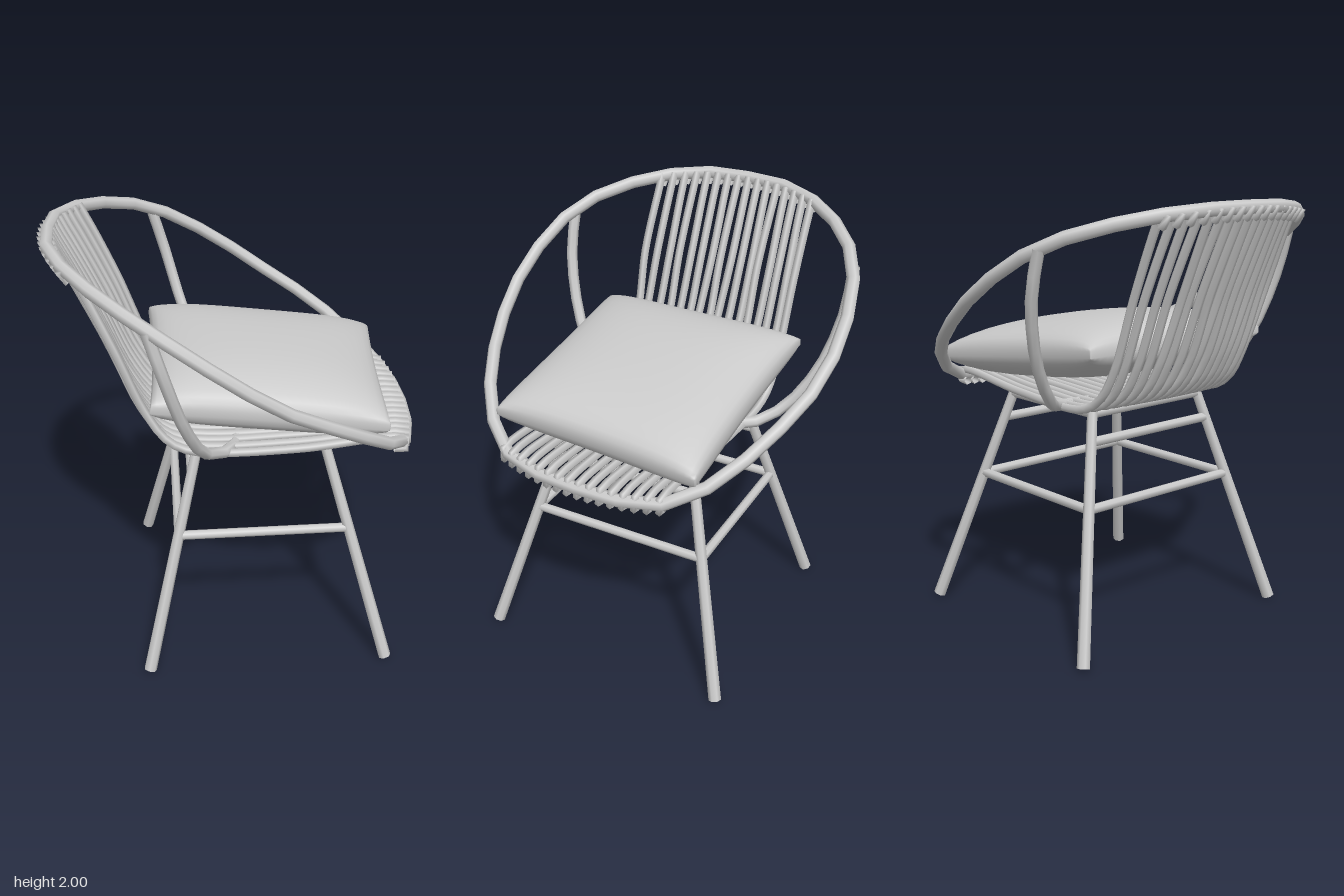
import * as THREE from 'three';
import { mergeVertices } from 'three/addons/utils/BufferGeometryUtils.js';

const mat = new THREE.MeshStandardMaterial({ color: 0xcccccc, side: THREE.DoubleSide });
const V = (p) => new THREE.Vector3(...p);
const mirror = ([x, y, z]) => [-x, y, z];

function add(parent, name, geometry) {
  const mesh = new THREE.Mesh(geometry, mat);
  mesh.name = name;
  parent.add(mesh);
  return mesh;
}

// Straight tapered rod between two points
function rod(parent, name, a, b, ra, rb = ra) {
  const p = V(a), q = V(b), dir = q.clone().sub(p);
  const mesh = add(parent, name, new THREE.CylinderGeometry(rb, ra, dir.length(), 7));
  mesh.position.copy(p).lerp(q, 0.5);
  mesh.quaternion.setFromUnitVectors(new THREE.Vector3(0, 1, 0), dir.normalize());
}

// Bent cane through a few points
function cane(parent, name, pts, radius, segments, sides, closed = false) {
  const curve = new THREE.CatmullRomCurve3(pts.map(V), closed, 'centripetal');
  add(parent, name, new THREE.TubeGeometry(curve, segments, radius, sides, closed));
}

// Small repeatable jitter for the hand-woven slats
let seed = 7;
function jitter(amount) {
  seed = (seed * 16807) % 2147483647;
  return (seed / 2147483647 - 0.5) * 2 * amount;
}

// Legs with rails between them; local +z is the way the seat faces
function buildBase(chair) {
  const base = new THREE.Group();
  base.name = 'base';
  base.rotation.y = 0.025; // sits slightly askew under the seat
  chair.add(base);
  const legAt = (side, front, y) => {
    const t = y / 1.06;
    return [side * (0.607 - 0.28 * t), y, front ? 0.615 - 0.29 * t : -0.507 + 0.26 * t];
  };
  for (const front of [true, false]) {
    const end = front ? 'front' : 'back';
    for (const side of [1, -1])
      rod(base, end + 'Leg', legAt(side, front, 0.01), legAt(side, front, 1.06), 0.03, 0.024);
    for (const y of [0.65, 0.93, 1.05])
      rod(base, end + 'Rail', legAt(1, front, y), legAt(-1, front, y), 0.022);
  }
  for (const side of [1, -1])
    for (const y of [0.65, 1.05])
      rod(base, 'sideRail', legAt(side, true, y), legAt(side, false, y), 0.022);
}

// Tilted ring forming backrest top, arms and seat front
function buildRim(chair) {
  const half = [
    [0.23, 1.96, -0.84], [0.40, 1.94, -0.76], [0.59, 1.89, -0.61], [0.735, 1.81, -0.42],
    [0.815, 1.64, -0.14], [0.80, 1.47, 0.11], [0.685, 1.30, 0.40], [0.565, 1.18, 0.565],
    [0.41, 1.095, 0.68], [0.2, 1.07, 0.73],
  ];
  const ring = [[0, 1.965, -0.86], ...half, [0, 1.07, 0.74], ...half.map(mirror).reverse()];
  cane(chair, 'rim', ring, 0.03, 28, 7, true);

  // Hoop passing under the seat and rising to both arms
  const post = [
    [0.735, 1.81, -0.43], [0.73, 1.6, -0.37], [0.65, 1.32, -0.29],
    [0.51, 1.12, -0.2], [0.36, 1.065, -0.08],
  ];
  cane(chair, 'armHoop', [...post, ...post.map(mirror).reverse()], 0.027, 24, 7);
}

// Parallel slats wrapped over the rim, down the back and along the seat
function buildSlats(chair) {
  const slats = new THREE.Group();
  slats.name = 'slats';
  chair.add(slats);
  const count = 16;
  for (let i = 0; i < count; i++) {
    const x = -0.415 + (0.8 * i) / (count - 1);
    const zb = -0.86 + 0.64 * x * x, yb = 1.965 - 0.17 * x * x;
    const zf = 0.738 - 0.35 * x * x, yf = 1.07 + 0.13 * x * x;
    const j = jitter(0.01), k = jitter(0.01);
    cane(slats, 'slat', [
      [x, yb - 0.045, zb + 0.005], [x, yb - 0.01, zb - 0.03], [x, yb + 0.02, zb],
      [x, yb - 0.05, zb + 0.04],
      [x + j, 1.6, zb * 0.78], [x + k, 1.28, zb * 0.62],
      [x, 1.14, zb * 0.5], [x, 1.08, -0.27],
      [x + j, 1.08, 0.2],
      [x, yf + 0.03, zf - 0.05], [x, yf + 0.02, zf + 0.012], [x, yf - 0.03, zf + 0.015],
      [x, yf - 0.03, zf - 0.04],
    ], 0.02, 40, 5);
  }
}

// Plump, slightly skewed square cushion, tipped up towards the back
function buildCushion(chair) {
  let geo = new THREE.BoxGeometry(2, 2, 2, 20, 1, 20);
  geo.deleteAttribute('uv');
  geo.deleteAttribute('normal');
  geo = mergeVertices(geo);
  const p = geo.attributes.position;
  for (let i = 0; i < p.count; i++) {
    // crowd the grid towards the edges so they round off smoothly
    const u = Math.sin((p.getX(i) * Math.PI) / 2), v = Math.sin((p.getZ(i) * Math.PI) / 2);
    const puff = Math.pow(Math.max(0, (1 - u ** 4) * (1 - v ** 4)), 0.42);
    const crown = 0.105 + 0.03 * (1 - u * u) * (1 - v * v);
    p.setXYZ(i,
      0.52 * u * (1 - 0.03 * (1 - v * v)) + 0.014 * v,
      p.getY(i) * (0.015 + crown * puff),
      0.54 * v * (1 - 0.03 * (1 - u * u)) + 0.01 * u + 0.02 * u * v);
  }
  geo.computeVertexNormals();
  const cushion = add(chair, 'cushion', geo);
  cushion.position.set(-0.01, 1.29, 0.088);
  cushion.rotation.x = 0.13;
}

export function createModel() {
  const model = new THREE.Group();
  model.name = 'armchair';
  const chair = new THREE.Group();
  chair.name = 'chair';
  chair.rotation.y = (Math.PI * 3) / 4; // stands turned to one corner
  model.add(chair);
  buildBase(chair);
  buildRim(chair);
  buildSlats(chair);
  buildCushion(chair);
  return model;
}
